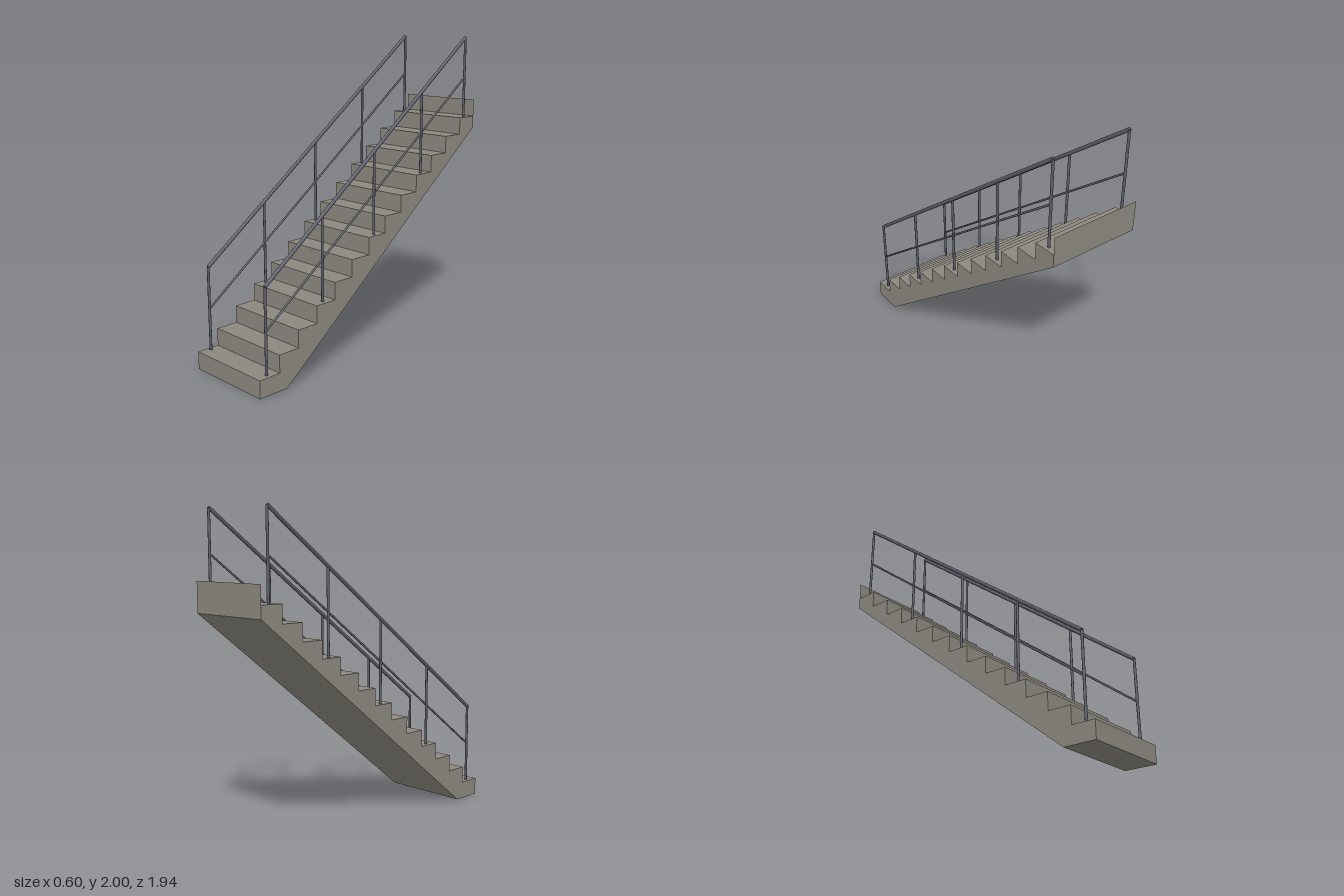
import * as THREE from 'three';

const STEPS = 13, RISE = 0.112, RUN = 0.1492;
const HALF_LENGTH = STEPS * RUN / 2, WIDTH = 0.596;
const RAIL_X = 0.268, POST_Z = 0.895;

export function createModel() {
  const concrete = new THREE.MeshStandardMaterial({ color: 0x8c887f, side: THREE.DoubleSide });
  concrete.name = 'concrete';
  const steel = new THREE.MeshStandardMaterial({ color: 0x5a5d69 });
  steel.name = 'steel';

  const model = new THREE.Group();
  model.name = 'staircase';

  const add = (parent, name, geometry, material) => {
    const mesh = new THREE.Mesh(geometry, material);
    mesh.name = name;
    parent.add(mesh);
    return mesh;
  };

  // Round bar between two points
  const bar = (parent, name, a, b, radius) => {
    const dir = b.clone().sub(a);
    const mesh = add(parent, name, new THREE.CylinderGeometry(radius, radius, dir.length(), 12), steel);
    mesh.position.copy(a).add(b).multiplyScalar(0.5);
    mesh.quaternion.setFromUnitVectors(new THREE.Vector3(0, 1, 0), dir.normalize());
  };

  // Stepped flight with a sloping underside, drawn from the side and extruded across
  const profile = new THREE.Shape();
  profile.moveTo(-HALF_LENGTH, 0);
  for (let i = 0; i < STEPS; i++) {
    profile.lineTo(-HALF_LENGTH + i * RUN, (i + 1) * RISE);
    profile.lineTo(-HALF_LENGTH + (i + 1) * RUN, (i + 1) * RISE);
  }
  profile.lineTo(HALF_LENGTH, 1.377);
  profile.lineTo(-0.764, 0);
  profile.closePath();
  const flight = new THREE.ExtrudeGeometry(profile, { depth: WIDTH, bevelEnabled: false });
  flight.translate(0, 0, -WIDTH / 2).rotateY(Math.PI / 2);
  add(model, 'flight', flight, concrete);

  // Last riser, a thin upright face above the top tread
  const riser = add(model, 'topRiser', new THREE.PlaneGeometry(WIDTH, RISE), concrete);
  riser.position.set(0, (STEPS + 0.5) * RISE, -HALF_LENGTH);

  // Railings on both sides: posts on every third tread, handrail and middle rail
  for (const side of [1, -1]) {
    const railing = new THREE.Group();
    railing.name = side > 0 ? 'leftRailing' : 'rightRailing';
    model.add(railing);
    const at = (y, z) => new THREE.Vector3(side * RAIL_X, y, z);
    for (let i = 0; i < 5; i++) {
      const z = POST_Z * (1 - i / 2), base = RISE * (1 + 3 * i);
      bar(railing, 'post', at(base, z), at(base + 0.535, z), 0.0085);
    }
    bar(railing, 'handrail', at(0.647, POST_Z), at(1.991, -POST_Z), 0.0115);
    bar(railing, 'middleRail', at(0.38, POST_Z), at(1.724, -POST_Z), 0.0065);
  }
  return model;
}
